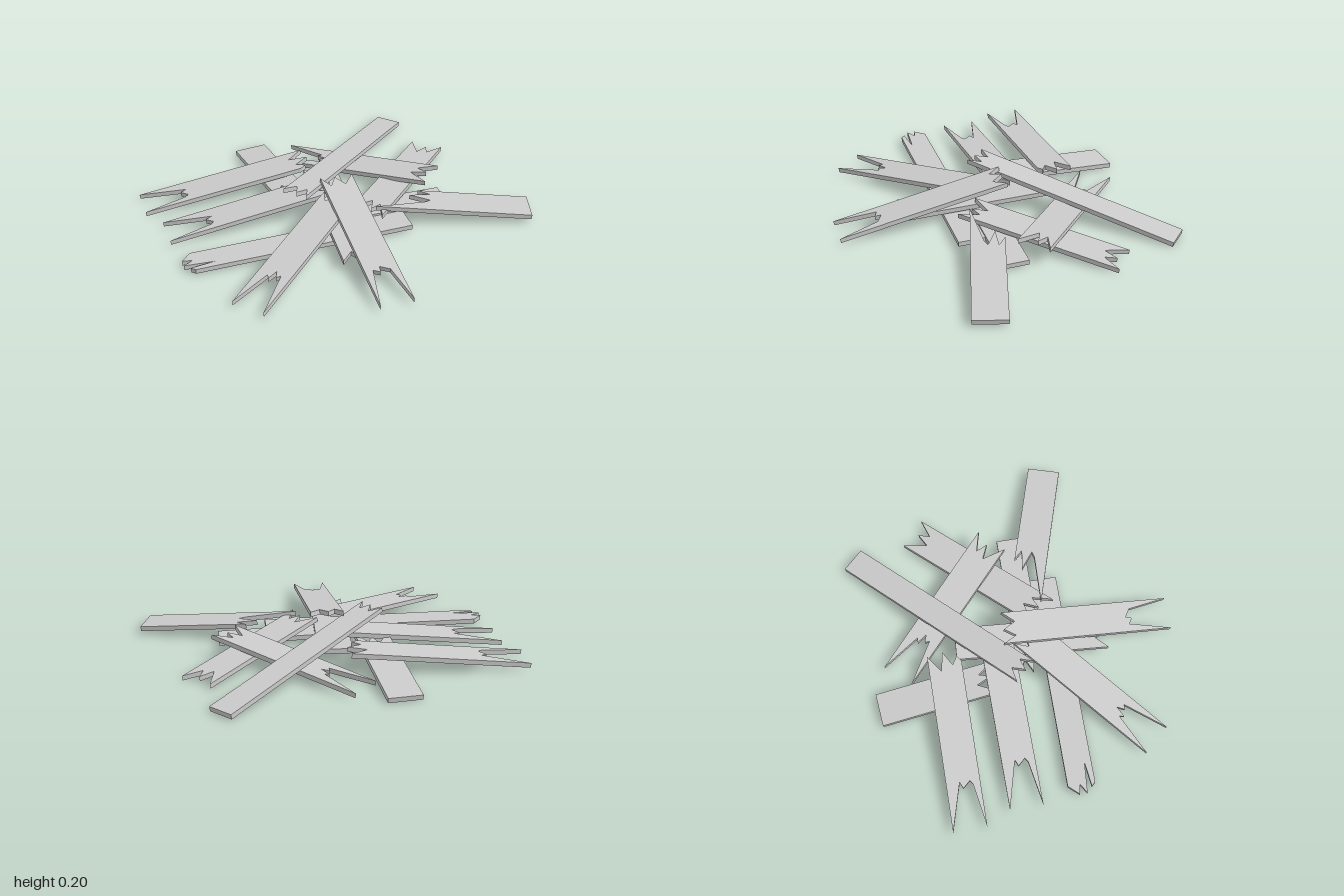
import * as THREE from 'three';

const THICK = 0.026;

// End outlines: [inset along the plank, position across in widths], left side to right side
const clean = [[0, 0.5], [0, -0.5]];
const forked = [[0, 0.5], [0.25, 0.1], [0.215, 0.02], [0.25, -0.2], [0.23, -0.28], [0, -0.5]];
const forkedWide = [[0, 0.5], [0.23, 0.17], [0.21, 0.08], [0.27, 0], [0.23, -0.1], [0.25, -0.2], [0, -0.5]];
const forkedDeep = [[0, 0.5], [0.23, 0.25], [0.21, 0.06], [0.245, 0.02], [0.215, -0.25], [0, -0.5]];
const toothed = [[0.01, 0.5], [0.1, 0.14], [0, 0.03], [0.075, -0.22], [0.03, -0.38], [0.06, -0.5]];
const crown = [[0, 0.5], [0.07, 0.27], [0.01, 0.05], [0.075, -0.18], [0.01, -0.5]];
const blunt = [[0.05, 0.5], [0, 0.12], [0.05, 0.05], [0, -0.16], [0.16, -0.25], [0.03, -0.36], [0.05, -0.5]];
const shortFork = [[0, 0.5], [0.1, 0.2], [0.04, 0.05], [0.12, -0.1], [0.01, -0.5]];
const slanted = [[0.24, 0.5], [0.3, 0.32], [0.19, 0.22], [0.3, 0], [0.27, -0.1], [0, -0.5]];

// Plank whose centre line runs from a to b, with an outline for either end
function plank(name, a, b, width, startEnd, finishEnd) {
  const start = new THREE.Vector3(...a);
  const along = new THREE.Vector3(...b).sub(start);
  const length = along.length();
  along.normalize();
  const across = new THREE.Vector3(0, 1, 0).cross(along).normalize();
  const up = along.clone().cross(across);

  const outline = [
    ...startEnd.map(([u, v]) => new THREE.Vector2(u, v * width)),
    ...finishEnd.map(([u, v]) => new THREE.Vector2(length - u, v * width)).reverse(),
  ];
  const geometry = new THREE.ExtrudeGeometry(new THREE.Shape(outline), { depth: THICK, bevelEnabled: false });
  geometry.translate(0, 0, -THICK / 2);
  geometry.applyMatrix4(new THREE.Matrix4().makeBasis(along, across, up).setPosition(start));

  const mesh = new THREE.Mesh(geometry, new THREE.MeshStandardMaterial({ color: 0xcccccc, flatShading: true }));
  mesh.name = name;
  return mesh;
}

export function createModel() {
  const group = new THREE.Group();
  group.name = 'brokenPlankPile';

  group.add(
    // Lowest layer, lying almost flat
    plank('flatLongPlank', [-0.91, 0.03, 0.215], [0.31, 0.03, 0.215], 0.145, blunt, clean),
    plank('flatShortPlank', [0.575, 0.032, 0.07], [-0.22, 0.05, 0.07], 0.145, clean, toothed),
    plank('buriedPlank', [-0.01, 0.09, -0.32], [-0.06, 0.055, 0.51], 0.18, clean, crown),
    // Planks leaning inwards from the back and the sides
    plank('backLeaningPlank', [-0.29, 0.018, -0.772], [-0.225, 0.09, -0.12], 0.178, clean, shortFork),
    plank('sidePlankBack', [-1, 0.025, -0.39], [-0.06, 0.13, -0.39], 0.178, forked, toothed),
    plank('sidePlankMiddle', [-0.93, 0.027, -0.085], [-0.02, 0.13, -0.1], 0.175, forked, toothed),
    plank('backCornerPlank', [0.71, 0.022, -0.465], [0.09, 0.1, 0.18], 0.178, shortFork, shortFork),
    plank('crossingPlank', [-0.115, 0.022, -0.65], [0.555, 0.11, -0.03], 0.178, forkedWide, shortFork),
    plank('sidePlankFront', [0.972, 0.036, 0.335], [0.17, 0.115, 0.09], 0.178, clean, slanted.map(([u, v]) => [u, -v]).reverse()),
    plank('frontCornerPlank', [-0.69, 0.026, 0.65], [-0.02, 0.145, 0.055], 0.178, forkedWide, crown),
    // Two planks propped on top
    plank('topLongPlank', [0.6, 0.02, -0.812], [-0.26, 0.195, 0.025], 0.14, clean, crown),
    plank('topFrontPlank', [0, 0.03, 0.855], [0, 0.195, -0.065], 0.175, forkedDeep, crown),
  );

  // The slanted plank has its long splinter on the front side
  group.getObjectByName('sidePlankFront').geometry.computeBoundingBox();
  return group;
}
